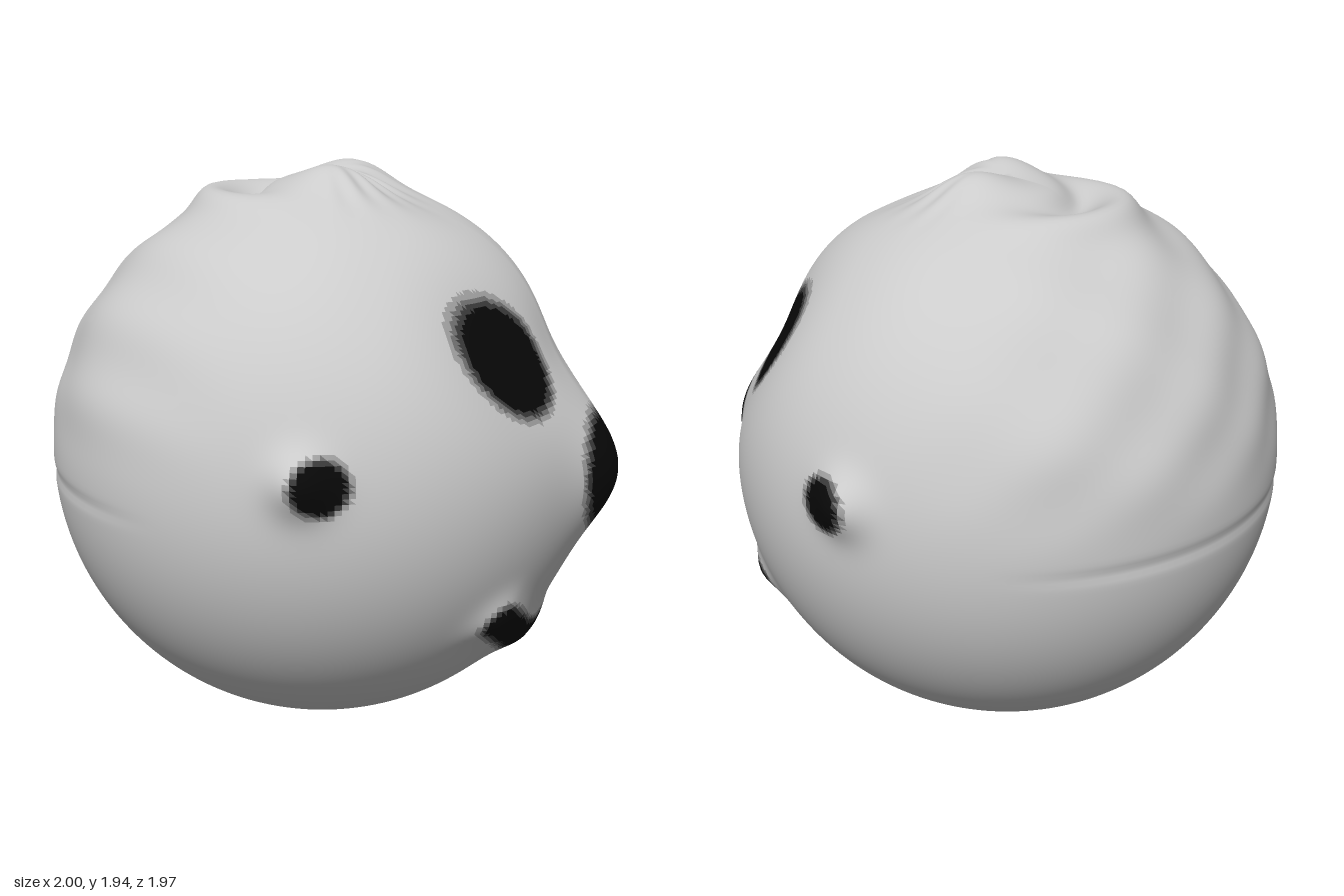
import * as THREE from 'three';
import { mergeVertices } from 'three/addons/utils/BufferGeometryUtils.js';

const R = 0.95, CENTER = new THREE.Vector3(-0.05, 0.95, 0);
const SHADES = [0xcccccc, 0xa0a0a0, 0x707070, 0x3a3a3a, 0x080808];
const gauss = (d, s) => Math.exp(-(d * d) / (s * s));
const fade = THREE.MathUtils.smoothstep;

// Distance to the half mouth line, mirrored in z
const MOUTH = [[0, 0.375], [0.16, 0.38], [0.3, 0.435], [0.48, 0.55]];
function mouthDistance(z, y) {
  const p = new THREE.Vector2(Math.abs(z), y);
  let best = 9;
  for (let i = 0; i < MOUTH.length - 1; i++) {
    const a = new THREE.Vector2(...MOUTH[i]);
    const ab = new THREE.Vector2(...MOUTH[i + 1]).sub(a);
    const t = THREE.MathUtils.clamp(p.clone().sub(a).dot(ab) / ab.lengthSq(), 0, 1);
    best = Math.min(best, p.distanceTo(a.addScaledVector(ab, t)));
  }
  return best;
}

// Radial offset of the clay-like ball at a point on the plain sphere
function offset({ x, y, z }) {
  const az = Math.abs(z);
  let h = 0;
  if (x > 0) {
    const eye = Math.hypot(az - 0.35, y - 1.39);
    h -= 0.07 * gauss(eye, 0.26) * fade(x, 0, 0.3);       // sunken eyes
    h -= 0.035 * gauss(Math.hypot(z, y - 1.36), 0.18) * fade(x, 0.3, 0.5); // bridge
    h += 0.1 * gauss(Math.hypot(z, y - 0.93), 0.2) * fade(x, 0.3, 0.5);    // nose
    h += 0.04 * gauss(mouthDistance(z, y), 0.075) * fade(x, 0.2, 0.5);     // lips
  }
  // ears
  if (az > 0.5) h += 0.063 * gauss(Math.hypot(x - 0.14, y - 1.09), 0.09);
  if (y > 1.4) {
    // crown: two lobes, a curved trough and the ridge behind it
    h += 0.055 * gauss(Math.hypot((x - 0.02) / 1.1, az - 0.13), 0.12);
    const r = Math.hypot(x + 0.1, z), a = Math.atan2(z, -(x + 0.1));
    const arc = gauss(a, 1.1);
    h -= 0.055 * arc * gauss(r - 0.21, 0.07);
    h += 0.045 * arc * gauss(r - 0.33, 0.07);
    // creases fanning out towards the face
    h += 0.006 * Math.sin(a * 22) * gauss(r - 0.25, 0.12) * fade(x, 0, 0.15);
    h -= 0.025 * gauss(Math.hypot(x - 0.3, z), 0.16);
  }
  // hand-pressed lumps over the upper back
  const back = fade(-x, 0, 0.6) * fade(y, 0.95, 1.3);
  h += 0.006 * back * (Math.sin(13 * z + 9 * y) + Math.sin(17 * y - 11 * z + 8 * x)) * 0.9;
  // faint groove around the back
  h -= 0.008 * fade(-x, 0.3, 0.8) * gauss(y - 0.91, 0.02);
  return h;
}

// Dark features: each returns darkness 0..1
const FEATURES = {
  leftEye: p => p.x > 0 ? 1 - fade(Math.hypot(p.z + 0.35, p.y - 1.39), 0.15, 0.235) : 0,
  rightEye: p => p.x > 0 ? 1 - fade(Math.hypot(p.z - 0.35, p.y - 1.39), 0.15, 0.235) : 0,
  nose: p => p.x > 0 ? 1 - fade(Math.hypot(p.z, p.y - 0.94), 0.15, 0.235) : 0,
  mouth: p => p.x > 0 ? 1 - fade(mouthDistance(p.z, p.y), 0.03, 0.075) : 0,
  leftEar: p => p.z < -0.5 ? 1 - fade(Math.hypot(p.x - 0.2, p.y - 1.08), 0.06, 0.11) : 0,
  rightEar: p => p.z > 0.5 ? 1 - fade(Math.hypot(p.x - 0.2, p.y - 1.08), 0.06, 0.11) : 0,
};

export function createModel() {
  const model = new THREE.Group();
  model.name = 'faceBall';

  let ball = new THREE.SphereGeometry(R, 280, 180);
  ball.deleteAttribute('uv');
  ball.deleteAttribute('normal');
  ball = mergeVertices(ball, 1e-5);
  ball.translate(CENTER.x, CENTER.y, CENTER.z);
  const plain = ball.attributes.position.clone();
  const pos = ball.attributes.position;
  const v = new THREE.Vector3();
  for (let i = 0; i < pos.count; i++) {
    v.fromBufferAttribute(pos, i);
    const h = offset(v);
    v.sub(CENTER).multiplyScalar(1 + h / R).add(CENTER);
    pos.setXYZ(i, v.x, v.y, v.z);
  }
  ball.computeVertexNormals();

  // Sort faces into the body and the shaded features
  const buckets = new Map();
  const index = ball.index.array;
  const mid = new THREE.Vector3();
  for (let i = 0; i < index.length; i += 3) {
    mid.set(0, 0, 0);
    for (let k = 0; k < 3; k++) mid.add(v.fromBufferAttribute(plain, index[i + k]));
    mid.divideScalar(3);
    let part = 'body', level = 0;
    for (const [name, darkness] of Object.entries(FEATURES)) {
      const l = Math.round(darkness(mid) * (SHADES.length - 1));
      if (l > level) { part = name; level = l; }
    }
    const key = part + '|' + level;
    if (!buckets.has(key)) buckets.set(key, []);
    buckets.get(key).push(index[i], index[i + 1], index[i + 2]);
  }

  // One mesh per part and shade, keeping the smooth normals of the whole ball
  const groups = {};
  for (const [key, ids] of buckets) {
    const [part, level] = key.split('|');
    const geometry = new THREE.BufferGeometry();
    for (const name of ['position', 'normal']) {
      const src = ball.attributes[name];
      const data = new Float32Array(ids.length * 3);
      ids.forEach((id, n) => data.set([src.getX(id), src.getY(id), src.getZ(id)], n * 3));
      geometry.setAttribute(name, new THREE.BufferAttribute(data, 3));
    }
    const mesh = new THREE.Mesh(geometry, new THREE.MeshStandardMaterial({ color: SHADES[level] }));
    mesh.name = part === 'body' ? 'bodySkin' : part + 'Shade' + level;
    if (!groups[part]) {
      groups[part] = new THREE.Group();
      groups[part].name = part;
      model.add(groups[part]);
    }
    groups[part].add(mesh);
  }
  return model;
}
